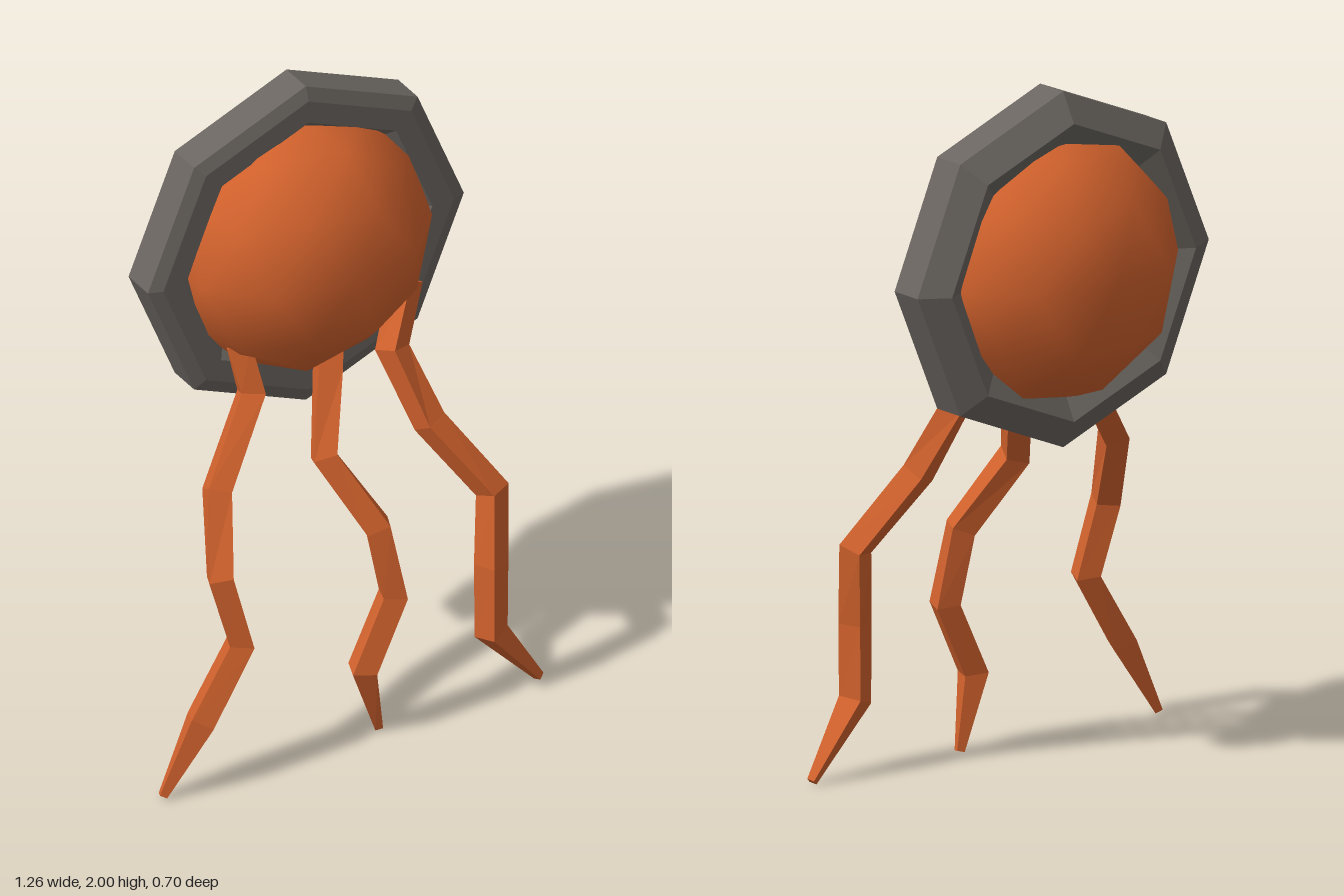
import * as THREE from 'three';

const orange = new THREE.MeshStandardMaterial({ color: 0xd2622d });
orange.name = 'orange skin';
const grey = new THREE.MeshStandardMaterial({ color: 0x6a6560 });
grey.name = 'dark grey shell';

function flat(geometry) {
  const g = geometry.index ? geometry.toNonIndexed() : geometry;
  g.computeVertexNormals();
  return g;
}

// Square-section limb through a list of points, with a tapered tip
function limb(points, yaw) {
  const pts = points.map(p => new THREE.Vector3(...p));
  const last = pts.length - 1;
  const positions = [], index = [];
  pts.forEach((p, i) => {
    const before = p.clone().sub(pts[Math.max(i - 1, 0)]).normalize();
    const after = pts[Math.min(i + 1, last)].clone().sub(p).normalize();
    const t = before.add(after).normalize();
    const side = new THREE.Vector3(-t.y, t.x, 0).normalize();
    const forward = t.clone().cross(side);
    const r = i === last ? 0.016 : 0.049;
    for (let k = 0; k < 4; k++) {
      const a = Math.PI / 4 + yaw + k * Math.PI / 2;
      const v = p.clone().addScaledVector(side, r * Math.cos(a)).addScaledVector(forward, r * Math.sin(a));
      positions.push(v.x, v.y, v.z);
    }
  });
  for (let i = 0; i < last; i++) {
    for (let k = 0; k < 4; k++) {
      const a = i * 4 + k, b = i * 4 + (k + 1) % 4;
      index.push(a, b, b + 4, a, b + 4, a + 4);
    }
  }
  const e = last * 4;
  index.push(0, 2, 1, 0, 3, 2, e, e + 1, e + 2, e, e + 2, e + 3);
  const g = new THREE.BufferGeometry();
  g.setAttribute('position', new THREE.Float32BufferAttribute(positions, 3));
  g.setIndex(index);
  return flat(g);
}

export function createModel() {
  const model = new THREE.Group();
  const add = (name, geometry, material) => {
    const mesh = new THREE.Mesh(geometry, material);
    mesh.name = name;
    model.add(mesh);
    return mesh;
  };

  // Smooth, slightly flattened body with a corner of the icosahedron on top
  const body = new THREE.IcosahedronGeometry(1, 1);
  body.rotateX(-Math.atan2((1 + Math.sqrt(5)) / 2, 1));
  body.rotateY(Math.PI / 2);
  body.scale(0.4, 0.4, 0.315);
  add('body', body, orange).position.set(0.02, 1.483, -0.033);

  // Eight-sided bevelled ring around the body
  const profile = [
    [0.36, -0.105], [0.433, -0.145], [0.517, -0.095], [0.517, 0.01],
    [0.475, 0.025], [0.405, 0.025], [0.36, -0.02], [0.36, -0.105],
  ].map(([r, z]) => new THREE.Vector2(r, z));
  const ring = flat(new THREE.LatheGeometry(profile, 8).rotateX(Math.PI / 2));
  add('shellRing', ring, grey).position.set(0.02, 1.483, 0);

  // Three kinked legs
  add('rightLeg', limb([
    [-0.22, 1.25, 0.04], [-0.2, 1.1, 0.08], [-0.37, 0.88, 0.175], [-0.42, 0.66, 0.275],
    [-0.37, 0.445, 0.302], [-0.5, 0.23, 0.302], [-0.615, 0.012, 0.287],
  ], 0.42), orange);
  add('middleLeg', limb([
    [0.07, 1.17, 0.05], [0.05, 1.1, 0.08], [-0.02, 0.88, 0.175], [0.095, 0.665, 0.275],
    [0.13, 0.445, 0.302], [0.03, 0.23, 0.302], [0.09, 0.012, 0.287],
  ], 0.35), orange);
  add('leftLeg', limb([
    [0.33, 1.28, 0.04], [0.26, 1.1, 0.08], [0.325, 0.885, 0.175], [0.47, 0.667, 0.275],
    [0.45, 0.445, 0.302], [0.45, 0.22, 0.302], [0.615, 0.012, 0.287],
  ], -0.42), orange);

  return model;
}
